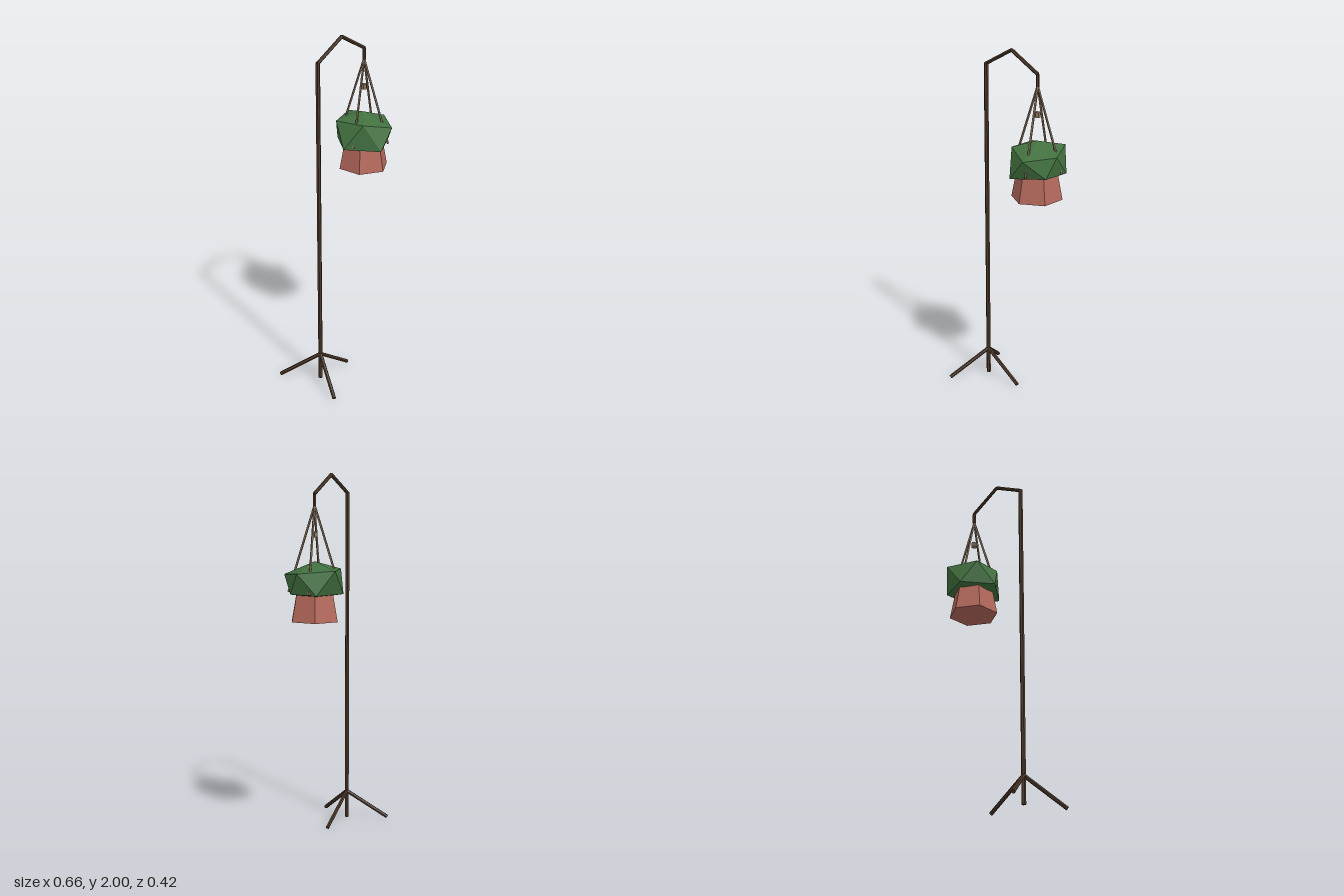
import * as THREE from 'three';
import { ConvexGeometry } from 'three/addons/geometries/ConvexGeometry.js';

const mat = (color) => new THREE.MeshStandardMaterial({ color, flatShading: true });
const wood = mat(0x4d3828);
const rope = mat(0x8a745e);
const clay = mat(0xb3685a);
const leaf = mat(0x41703f);

const V = (x, y, z) => new THREE.Vector3(x, y, z);

// Straight rod between two points
function rod(name, a, b, radius, material, sides = 6) {
  const mesh = new THREE.Mesh(
    new THREE.CylinderGeometry(radius, radius, a.distanceTo(b), sides), material);
  mesh.name = name;
  mesh.position.copy(a).add(b).multiplyScalar(0.5);
  mesh.quaternion.setFromUnitVectors(V(0, 1, 0), b.clone().sub(a).normalize());
  return mesh;
}

export function createModel() {
  const model = new THREE.Group();
  model.name = 'hangingPlantStand';
  const poleX = -0.205, hangX = 0.172;

  // Upright pole
  model.add(rod('pole', V(poleX, 0.012, 0), V(poleX, 1.892, 0), 0.0125, wood));

  // Three splayed legs
  for (let i = 0; i < 3; i++) {
    const a = (i * Math.PI * 2) / 3;
    const foot = V(poleX + 0.235 * Math.cos(a), 0.01, 0.235 * Math.sin(a));
    model.add(rod('leg', V(poleX, 0.168, 0), foot, 0.011, wood));
  }

  // Bent arm ending in a short drop
  const armPath = [V(poleX, 1.888, 0), V(-0.015, 1.99, 0), V(hangX, 1.89, 0), V(hangX, 1.825, 0)];
  for (let i = 0; i < 3; i++) {
    model.add(rod('arm', armPath[i], armPath[i + 1], 0.01, wood));
  }

  // Four cords fanning out from the arm to the pot
  for (let i = 0; i < 4; i++) {
    const a = 0.295 + (i * Math.PI) / 2;
    const end = V(hangX + 0.145 * Math.cos(a), 1.365, -0.145 * Math.sin(a));
    model.add(rod('cord', V(hangX, 1.83, 0), end, 0.0065, rope, 5));
  }

  // Knot hanging between the cords
  const knot = new THREE.Mesh(new THREE.CylinderGeometry(0.017, 0.017, 0.028, 6), rope);
  knot.name = 'knot';
  knot.position.set(hangX, 1.675, 0);
  model.add(knot);

  // Six-sided flared pot
  const pot = new THREE.Mesh(new THREE.CylinderGeometry(0.11, 0.141, 0.16, 6), clay);
  pot.name = 'pot';
  pot.position.set(hangX, 1.292, 0);
  model.add(pot);

  // Faceted foliage: crown, upper ring, lower ring, base
  const foliage = new THREE.Mesh(new ConvexGeometry([
    V(0.17, 1.532, 0),
    V(0.05, 1.488, -0.095), V(0.232, 1.49, -0.158), V(0.328, 1.475, 0.02),
    V(0.217, 1.46, 0.163), V(0.065, 1.495, 0.085),
    V(0, 1.355, 0), V(0.128, 1.36, -0.152), V(0.306, 1.36, -0.085),
    V(0.302, 1.362, 0.075), V(0.123, 1.347, 0.163),
    V(0.17, 1.335, 0),
  ]), leaf);
  foliage.name = 'foliage';
  model.add(foliage);

  return model;
}
